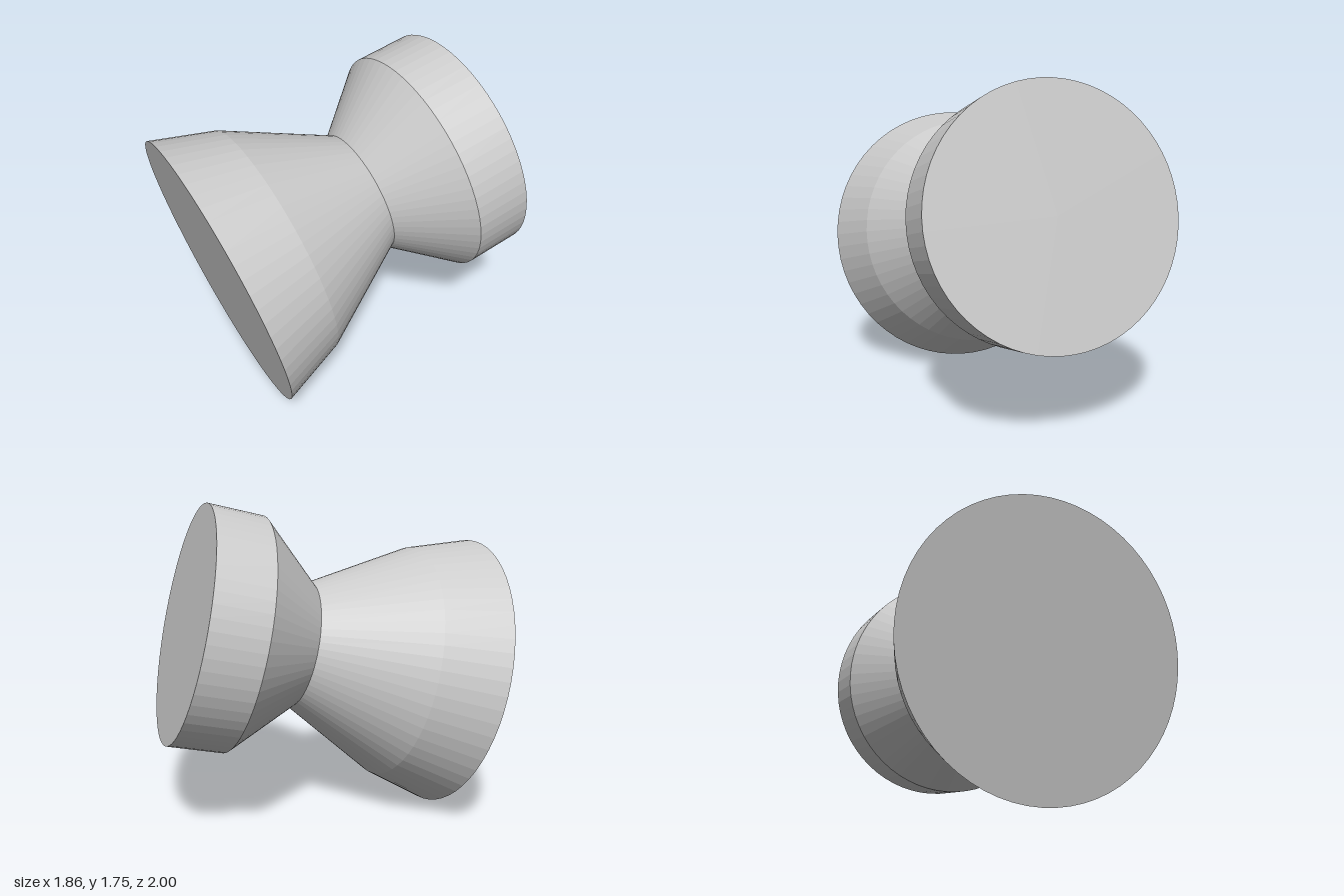
import * as THREE from 'three';

export function createModel() {
  const group = new THREE.Group();
  const material = new THREE.MeshStandardMaterial({ color: 0xcccccc, flatShading: true });

  // Spool turned around one tilted axis, from the front disc to the back disc
  const spool = new THREE.Group();
  spool.name = 'spool';
  spool.position.set(-0.195, 0.76, 0.695);
  const axis = new THREE.Vector3(0.323, 0.233, -0.917).normalize();
  spool.quaternion.setFromUnitVectors(new THREE.Vector3(0, 1, 0), axis);
  group.add(spool);

  // Each part is a lathe of [radius, distance along the axis]
  const addTurned = (name, profile) => {
    const points = profile.map(([r, t]) => new THREE.Vector2(r, t));
    const mesh = new THREE.Mesh(new THREE.LatheGeometry(points, 64), material);
    mesh.name = name;
    spool.add(mesh);
  };

  // Large front bell: closed disc, short rim, long taper to the waist
  addTurned('frontBell', [[0, 0], [0.778, 0], [0.665, 0.348], [0.353, 0.908]]);
  // Back flange: flare from the waist, straight rim, closed disc
  addTurned('backFlange', [[0.353, 0.908], [0.653, 1.255], [0.653, 1.559], [0, 1.559]]);

  return group;
}
